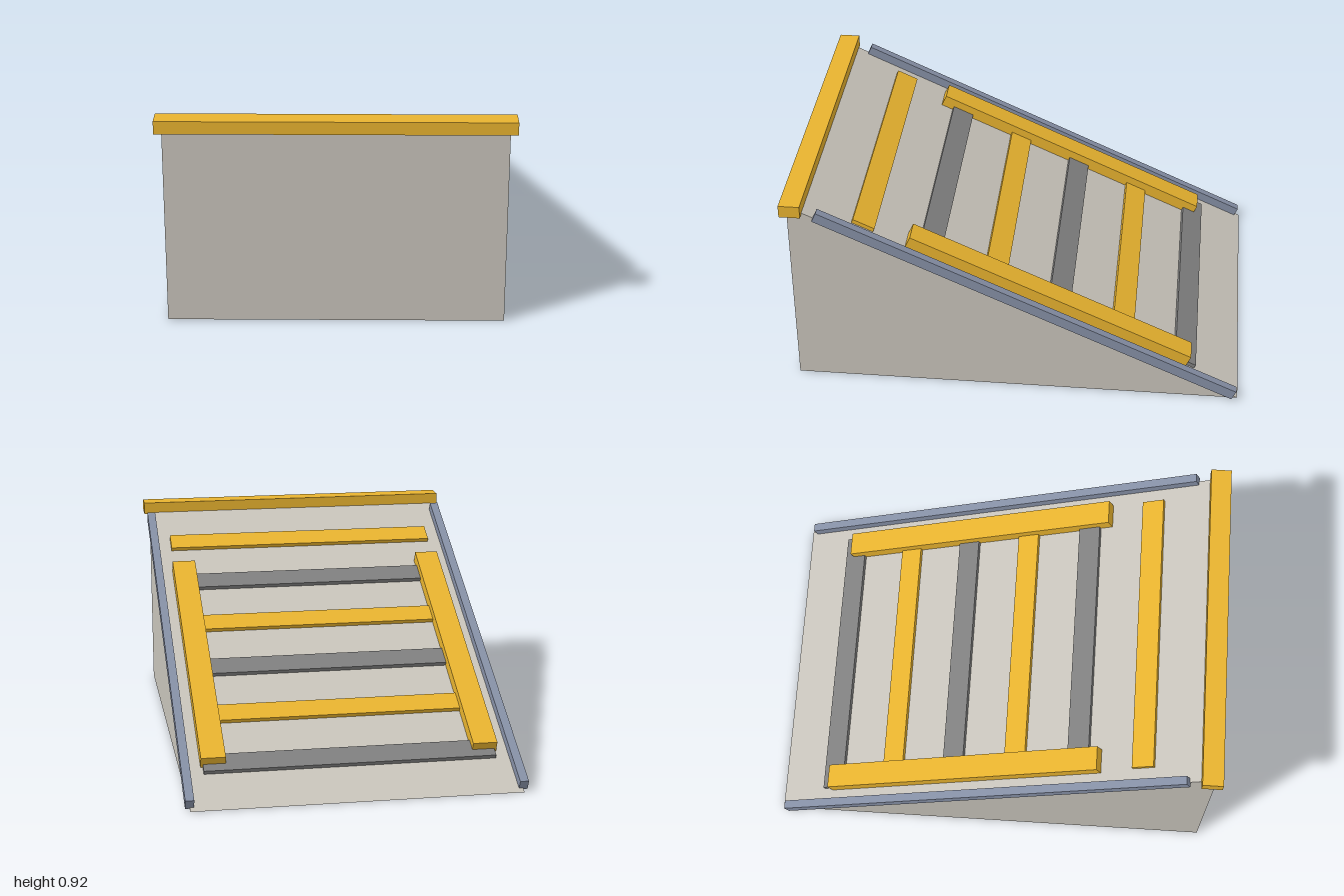
import * as THREE from 'three';

const SLOPE = Math.atan(0.4564);
const mat = (color) => new THREE.MeshStandardMaterial({ color, flatShading: true });

export function createModel() {
  const model = new THREE.Group();
  model.name = 'ramp';
  const concrete = mat(0xc8c4bb);
  const yellow = mat(0xe8b32f);
  const rubber = mat(0x808080);
  const steel = mat(0x8690a6);

  // box given by its min and max corners
  function block(parent, name, material, [x0, y0, z0], [x1, y1, z1]) {
    const mesh = new THREE.Mesh(new THREE.BoxGeometry(x1 - x0, y1 - y0, z1 - z0), material);
    mesh.position.set((x0 + x1) / 2, (y0 + y1) / 2, (z0 + z1) / 2);
    mesh.name = name;
    parent.add(mesh);
  }

  // wedge body: side profile extruded across the width
  const frontZ = 0.972;
  const halfWidth = 0.718;
  const profile = new THREE.Shape([
    new THREE.Vector2(-frontZ, 0),
    new THREE.Vector2(1, 0),
    new THREE.Vector2(-frontZ, (frontZ + 1) * Math.tan(SLOPE)),
  ]);
  const wedgeGeometry = new THREE.ExtrudeGeometry(profile, { depth: 2 * halfWidth, bevelEnabled: false });
  wedgeGeometry.translate(0, 0, -halfWidth).rotateY(Math.PI / 2);
  const wedge = new THREE.Mesh(wedgeGeometry, concrete);
  wedge.name = 'wedgeBody';
  model.add(wedge);

  // beam along the high edge
  block(model, 'topBeam', yellow, [-0.748, 0.864, 0.908], [0.748, 0.92, 1]);

  // parts lying on the slope: local z runs uphill, local y is the surface normal
  const deck = new THREE.Group();
  deck.name = 'rampDeck';
  deck.position.z = -1;
  deck.rotation.x = -SLOPE;
  model.add(deck);

  // edge rails and track strips, mirrored
  for (const [side, s] of [['left', 1], ['right', -1]]) {
    const across = (a, b) => (s > 0 ? [a, b] : [-b, -a]);
    const [r0, r1] = across(0.7, 0.738);
    block(deck, side + 'EdgeRail', steel, [r0, -0.006, 0.026], [r1, 0.04, 2.044]);
    const [t0, t1] = across(0.542, 0.65);
    block(deck, side + 'TrackStrip', yellow, [t0, 0, 0.26], [t1, 0.054, 1.625]);
  }

  // cross slats, alternating grey and yellow going uphill
  for (let i = 0; i < 6; i++) {
    const z = 0.269 + i * 0.312;
    block(deck, 'crossSlat' + (i + 1), i % 2 ? yellow : rubber, [-0.64, -0.004, z - 0.051], [0.64, 0.018, z + 0.051]);
  }
  return model;
}
